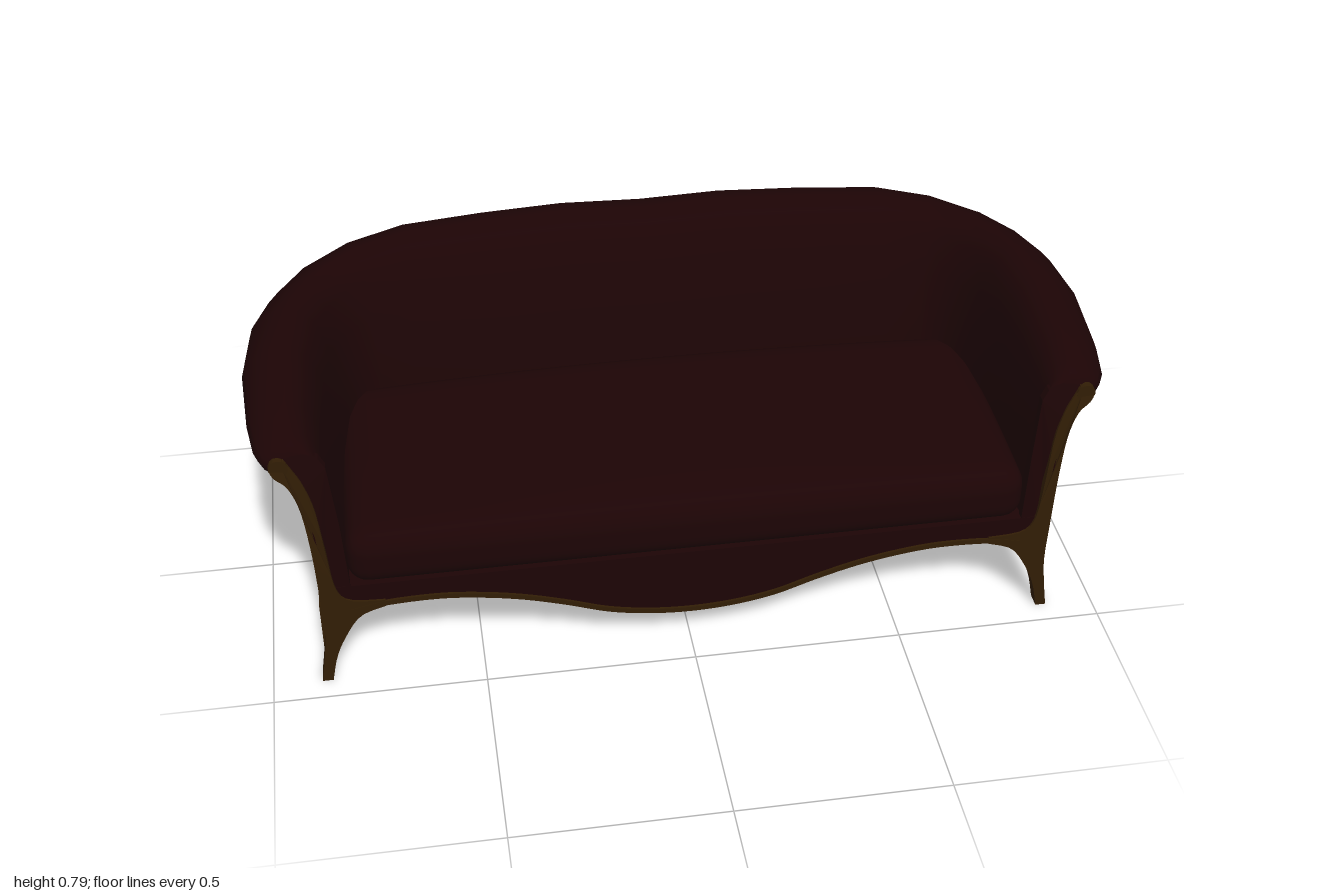
import * as THREE from 'three';
import { mergeVertices } from 'three/addons/utils/BufferGeometryUtils.js';

const fabric = new THREE.MeshStandardMaterial({ color: 0x1c0405, side: THREE.DoubleSide });
fabric.name = 'dark red upholstery';
const wood = new THREE.MeshStandardMaterial({ color: 0x311d05, side: THREE.DoubleSide });
wood.name = 'golden brown wood';

// Half of the U-shaped shell, front to centre: wall foot B, inner foot I, roll edge R (x, z), roll top and bottom
const half = [
  { B: [.865, .42], I: [.80, .42], R: [.935, .415], T: .643, Y: .589 },
  { B: [.866, .395], I: [.798, .395], R: [.962, .393], T: .662, Y: .585 },
  { B: [.866, .365], I: [.795, .365], R: [.977, .365], T: .678, Y: .583 },
  { B: [.87, .28], I: [.79, .28], R: [.99, .28], T: .70, Y: .585 },
  { B: [.87, .1], I: [.775, .1], R: [1, .1], T: .728, Y: .582 },
  { B: [.866, -.04], I: [.755, -.02], R: [.985, -.05], T: .741, Y: .565 },
  { B: [.853, -.135], I: [.735, -.07], R: [.945, -.16], T: .746, Y: .55 },
  { B: [.842, -.162], I: [.71, -.105], R: [.875, -.27], T: .749, Y: .545 },
  { B: [.805, -.186], I: [.68, -.12], R: [.75, -.375], T: .757, Y: .54 },
  { B: [.66, -.203], I: [.6, -.13], R: [.6, -.432], T: .769, Y: .537 },
  { B: [.4, -.22], I: [.4, -.133], R: [.4, -.45], T: .778, Y: .535 },
  { B: [.2, -.228], I: [.2, -.135], R: [.2, -.455], T: .786, Y: .535 },
  { B: [0, -.23], I: [0, -.135], R: [0, -.455], T: .779, Y: .535 },
];
const flip = ([x, z]) => [-x, z];
const stations = [...half, ...half.slice(0, -1).reverse().map(s => ({ ...s, B: flip(s.B), I: flip(s.I), R: flip(s.R) }))];

// The front of the arms leans back towards the top
const lean = y => .445 - .035 * Math.max(0, (y - .3) / .34) ** 2;
// The underside rises towards the front
const floorAt = z => .165 + .055 * (z + .2) / .6;

// One cross-section: up the outer wall, around the roll, down the inside
function section({ B, I, R, T, Y }) {
  const mix = (a, b, t) => [a[0] + (b[0] - a[0]) * t, a[1] + (b[1] - a[1]) * t];
  const C = mix(I, R, .54), H = T - Y;
  const pts = [];
  const add = (p, y) => pts.push(new THREE.Vector3(p[0], y, Math.min(p[1], lean(y) - .006)));
  [[0, .165], [.02, .35], [.05, .42], [.2, Y - .035], [.4, Y - .003], [.62, Y + .04 * H], [.8, Y + .1 * H], [.92, Y + .22 * H]]
    .forEach(([t, y]) => add(mix(B, R, t), y));
  [[1, .48], [.9, .68], [.63, .86], [.33, .96], [0, 1]].forEach(([t, h]) => add(mix(C, R, t), Y + h * H));
  [[.23, T - .1 * H], [.45, T - .27 * H], [.65, T - .72 * H], [.88, .45], [1, .28]].forEach(([t, y]) => add(mix(C, I, t), y));
  return pts;
}

function loft(rows) {
  const n = rows[0].length, index = [];
  for (let i = 0; i < rows.length - 1; i++)
    for (let j = 0; j < n - 1; j++) {
      const a = i * n + j, b = a + n;
      index.push(a, b, a + 1, b, b + 1, a + 1);
    }
  const g = new THREE.BufferGeometry().setFromPoints(rows.flat());
  g.setIndex(index);
  g.computeVertexNormals();
  return g;
}

// The same with sharp edges
function facetedLoft(rows) {
  const g = loft(rows).toNonIndexed();
  g.computeVertexNormals();
  return g;
}

const shapeOf = pts => new THREE.Shape(pts.map(p => new THREE.Vector2(p[0], p[1])));
const extrude = (pts, depth) => new THREE.ExtrudeGeometry(shapeOf(pts), { depth, bevelEnabled: false });
const curve = (pts, n) => new THREE.SplineCurve(pts.map(p => new THREE.Vector2(...p))).getPoints(n).map(p => [p.x, p.y]);

// Move every vertex by a rule
function warp(g, rule) {
  const p = g.attributes.position, v = new THREE.Vector3();
  for (let i = 0; i < p.count; i++) {
    rule(v.fromBufferAttribute(p, i));
    p.setXYZ(i, v.x, v.y, v.z);
  }
  g.computeVertexNormals();
  return g;
}

// Mirrored copy across x with the corner order restored
function mirrored(g) {
  const m = g.index ? g.toNonIndexed() : g.clone();
  const p = m.attributes.position, a = p.array.slice();
  for (let i = 0; i < p.count; i++) {
    const s = i % 3 === 1 ? i + 1 : i % 3 === 2 ? i - 1 : i;
    p.setXYZ(i, -a[s * 3], a[s * 3 + 1], a[s * 3 + 2]);
  }
  m.computeVertexNormals();
  return m;
}

export function createModel() {
  const sofa = new THREE.Group();
  sofa.name = 'sofa';
  const add = (name, g, mat) => {
    const m = new THREE.Mesh(g, mat);
    m.name = name;
    sofa.add(m);
  };
  const pair = (name, g, mat) => {
    add(name + 'Left', g, mat);
    add(name + 'Right', mirrored(g), mat);
  };

  // Back and arms in one rolled shell
  const rows = stations.map(section);
  add('backAndArms', loft(rows), fabric);

  // Upholstered fronts of the arms
  const armFront = extrude(rows[0].map(p => [p.x - .004, p.y]), .02);
  pair('armFront', warp(armFront, v => { v.z += lean(v.y) - .025; }), fabric);

  // Front leg running up into the arm trim
  const outer = curve([[.885, 0], [.873, .08], [.866, .15], [.868, .25], [.873, .38], [.886, .5], [.908, .565], [.935, .592], [.944, .614], [.933, .634], [.91, .634]], 40);
  const inner = curve([[.897, .612], [.875, .57], [.855, .5], [.842, .38], [.83, .28], [.8, .24], [.72, .232]], 20);
  const under = curve([[.72, .214], [.78, .19], [.82, .13], [.845, .07], [.86, 0]], 14);
  const post = extrude([...outer, ...inner, ...under], .036);
  pair('frontLegAndTrim', warp(post, v => { v.z += lean(v.y) - .036; }), wood);

  // Scroll at the top of the trim
  const scroll = new THREE.CylinderGeometry(.022, .022, .03, 14);
  scroll.rotateX(Math.PI / 2).translate(.924, .616, .401);
  pair('armScroll', scroll, wood);

  // Seat base, following the foot of the shell, with a sloping underside
  const foot = stations.map(s => s.B);
  const base = extrude(foot, .2);
  base.rotateX(Math.PI / 2).translate(0, .28, 0);
  add('seatBase', warp(base, v => { if (v.y < .2) v.y = floorAt(v.z); }), fabric);
  const bottom = extrude(foot.map(([x, z]) => [x * .84, .1 + (z - .1) * .84]), .006);
  bottom.rotateX(Math.PI / 2);
  add('underside', warp(bottom, v => { v.y += floorAt(v.z) + .002; }), wood);

  // Front apron with a serpentine lower edge and its wooden bead
  const edgeHalf = [[.8, .2], [.72, .216], [.6, .22], [.5, .21], [.4, .19], [.3, .16], [.2, .125], [.1, .106]];
  const edge = curve([...edgeHalf.map(([x, y]) => [-x, y]), [0, .1], ...[...edgeHalf].reverse()], 64);
  const apron = extrude([...edge, [.83, .28], [-.83, .28]], .04);
  apron.translate(0, 0, .4);
  add('frontApron', apron, fabric);
  const bead = extrude([...edge, ...edge.map(([x, y]) => [x, y + .013]).reverse()], .046);
  bead.translate(0, 0, .4);
  add('apronBead', bead, wood);

  // Seat cushion: a rounded block with a crowned top
  const size = [.8, .068, .3], r = .05;
  let cushion = new THREE.BoxGeometry(1.6, .136, .6, 64, 12, 28);
  cushion.deleteAttribute('uv');
  cushion.deleteAttribute('normal');
  cushion = mergeVertices(cushion);
  warp(cushion, v => {
    const core = new THREE.Vector3(...['x', 'y', 'z'].map((k, i) => THREE.MathUtils.clamp(v[k], r - size[i], size[i] - r)));
    v.sub(core);
    if (v.length() > 0) v.setLength(Math.min(r, v.length()));
    v.add(core);
    if (v.y > 0) v.y += .045 * (v.y / .068) * (1 - .6 * (v.x / .8) ** 2) * (1 - .8 * Math.max(0, v.z / .3) ** 2);
    v.y += .343;
    v.z += .15;
  });
  add('seatCushion', cushion, fabric);

  // Side rail with an arched lower edge
  const arch = curve([[.41, .04], [.4, .09], [.37, .12], [.3, .14], [.2, .153], [.1, .155], [0, .147], [-.1, .122]], 24);
  const top = curve([[-.165, .197], [-.05, .194], [.1, .193], [.18, .188], [.24, .182], [.3, .195], [.41, .205]], 18);
  const rail = extrude([...arch, [-.165, .122], ...top], .02);
  rail.rotateY(-Math.PI / 2).translate(.874, 0, 0);
  pair('sideRail', warp(rail, v => { v.x -= 1.2 * Math.max(0, -.02 - v.z) ** 2; }), wood);

  // Tapered back legs with a cut outer corner
  const ring = (y, pts) => [...pts, pts[0]].map(([x, z]) => new THREE.Vector3(x, y, z));
  const toe = [[.803, -.19], [.825, -.19], [.842, -.176], [.842, -.15], [.803, -.15]];
  const hip = [[.743, -.196], [.815, -.19], [.85, -.165], [.856, -.085], [.743, -.085]];
  const leg = facetedLoft([ring(0, toe.map(() => [.822, -.17])), ring(0, toe), ring(.195, hip)]);
  pair('backLeg', leg, wood);

  // Rail along the foot of the back, upholstered inside
  const backRow = offsets => facetedLoft(stations.slice(8, -8).map(({ B: [x, z] }) =>
    offsets.map(([y, dz]) => new THREE.Vector3(x, y, z + dz))));
  add('backRail', backRow([[.145, .012], [.145, -.004], [.185, -.004], [.185, .01]]), wood);
  add('backRailLining', backRow([[.19, .014], [.145, .014], [.145, .012]]), fabric);

  return sofa;
}
